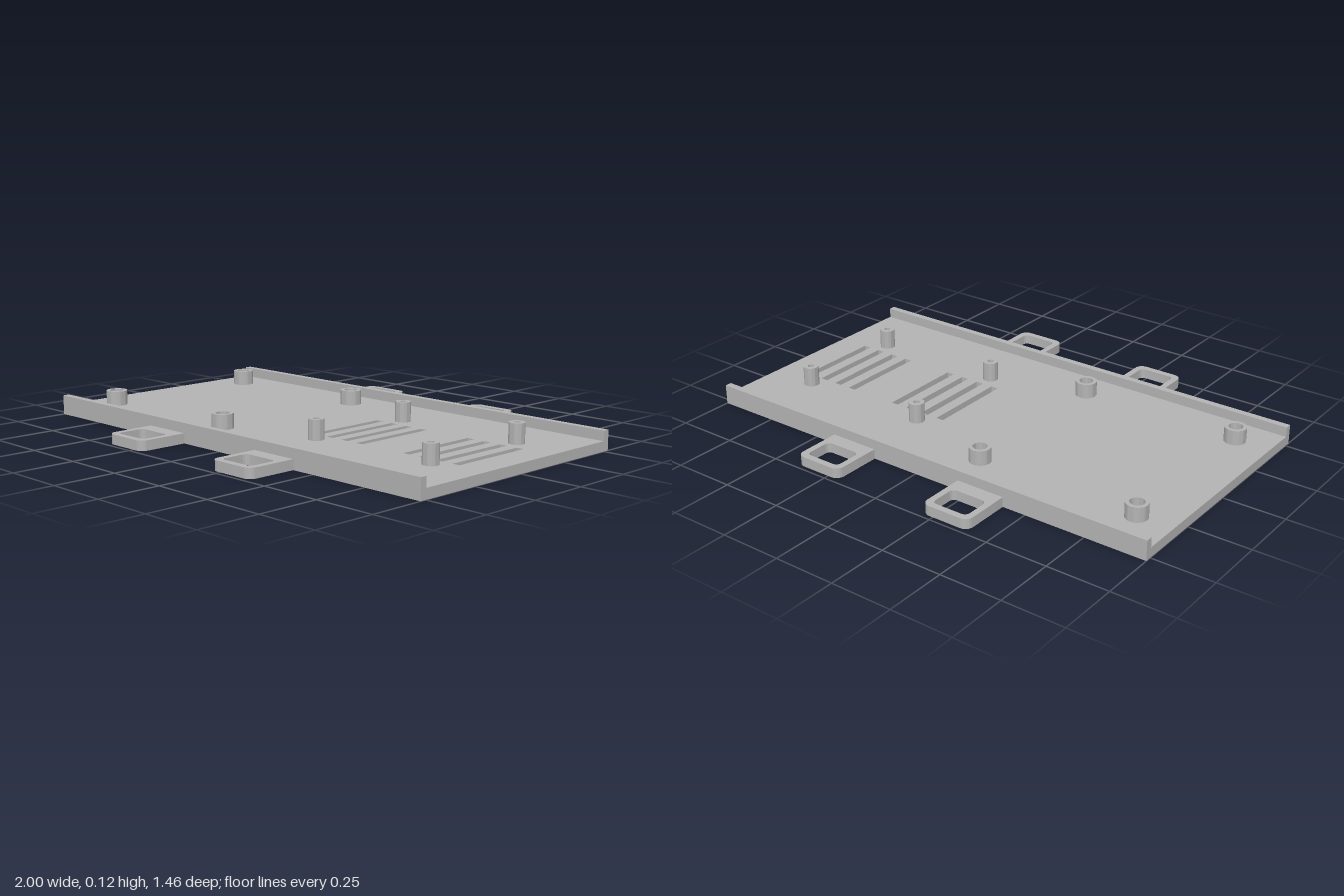
import * as THREE from 'three';
import { toCreasedNormals } from 'three/addons/utils/BufferGeometryUtils.js';

const FLOOR = 0.04;      // floor thickness
const HALF_DEPTH = 0.525;

// Rectangle path with its own radius for the near (-y) and far (+y) corners
function roundedRect(path, x0, y0, x1, y1, near, far) {
  path.moveTo(x0 + near, y0);
  path.lineTo(x1 - near, y0);
  if (near) path.absarc(x1 - near, y0 + near, near, -Math.PI / 2, 0, false);
  path.lineTo(x1, y1 - far);
  if (far) path.absarc(x1 - far, y1 - far, far, 0, Math.PI / 2, false);
  path.lineTo(x0 + far, y1);
  if (far) path.absarc(x0 + far, y1 - far, far, Math.PI / 2, Math.PI, false);
  path.lineTo(x0, y0 + near);
  if (near) path.absarc(x0 + near, y0 + near, near, Math.PI, Math.PI * 1.5, false);
  return path;
}

const circle = (path, x, y, r) => path.absarc(x, y, r, 0, Math.PI * 2, false);

// Extrude a plan-view shape upwards, keeping round walls smooth
function slab(shape, height, curveSegments = 24) {
  const g = new THREE.ExtrudeGeometry(shape, { depth: height, bevelEnabled: false, curveSegments });
  g.rotateX(-Math.PI / 2);
  return toCreasedNormals(g, 0.6);
}

export function createModel() {
  const model = new THREE.Group();
  model.name = 'mountingTray';
  const grey = new THREE.MeshStandardMaterial({ color: 0xb4b4b4 });
  grey.name = 'grey plastic';

  const add = (name, geometry, x = 0, y = 0, z = 0) => {
    const mesh = new THREE.Mesh(geometry, grey);
    mesh.name = name;
    mesh.position.set(x, y, z);
    model.add(mesh);
    return mesh;
  };

  // Two sets of standoffs, four of each
  const standoffs = [
    { name: 'wideStandoff', xs: [-0.855, -0.173], z: 0.355, r: 0.043, bore: 0.028, hole: 0.018, top: 0.1 },
    { name: 'slimStandoff', xs: [0.228, 0.793], z: 0.24, r: 0.031, bore: 0.013, hole: 0.013, top: 0.12 },
  ];

  // Floor with vent slots and screw holes
  const floor = roundedRect(new THREE.Shape(), -1, -HALF_DEPTH, 1, HALF_DEPTH, 0, 0);
  for (const start of [0.162, 0.626]) {
    for (let i = 0; i < 4; i++) {
      const x = start + i * 0.077;
      floor.holes.push(roundedRect(new THREE.Path(), x - 0.016, -0.18, x + 0.016, 0.18, 0, 0));
    }
  }
  for (const s of standoffs) {
    for (const x of s.xs) {
      for (const side of [-1, 1]) floor.holes.push(circle(new THREE.Path(), x, side * s.z, s.hole));
    }
  }
  add('floor', slab(floor, FLOOR));

  // Hollow standoffs on the floor
  for (const s of standoffs) {
    const ring = circle(new THREE.Shape(), 0, 0, s.r);
    ring.holes.push(circle(new THREE.Path(), 0, 0, s.bore));
    const geometry = slab(ring, s.top - FLOOR, 32);
    for (const x of s.xs) {
      for (const side of [-1, 1]) add(s.name, geometry, x, FLOOR, side * s.z);
    }
  }

  // Raised rails along the front and back edges
  const rail = new THREE.BoxGeometry(2, 0.04, 0.028);
  for (const side of [-1, 1]) add('edgeRail', rail, 0, FLOOR + 0.02, side * (HALF_DEPTH - 0.014));

  // Strap loops with rounded outer corners and windows
  const loop = roundedRect(new THREE.Shape(), -0.102, 0, 0.102, 0.205, 0, 0.033);
  loop.holes.push(roundedRect(new THREE.Path(), -0.076, 0.061, 0.076, 0.178, 0.02, 0.02));
  const loopGeometry = slab(loop, FLOOR, 8);
  for (const x of [-0.302, 0.302]) {
    add('backStrapLoop', loopGeometry, x, 0, -HALF_DEPTH);
    add('frontStrapLoop', loopGeometry, x, 0, HALF_DEPTH).rotation.y = Math.PI;
  }

  return model;
}
